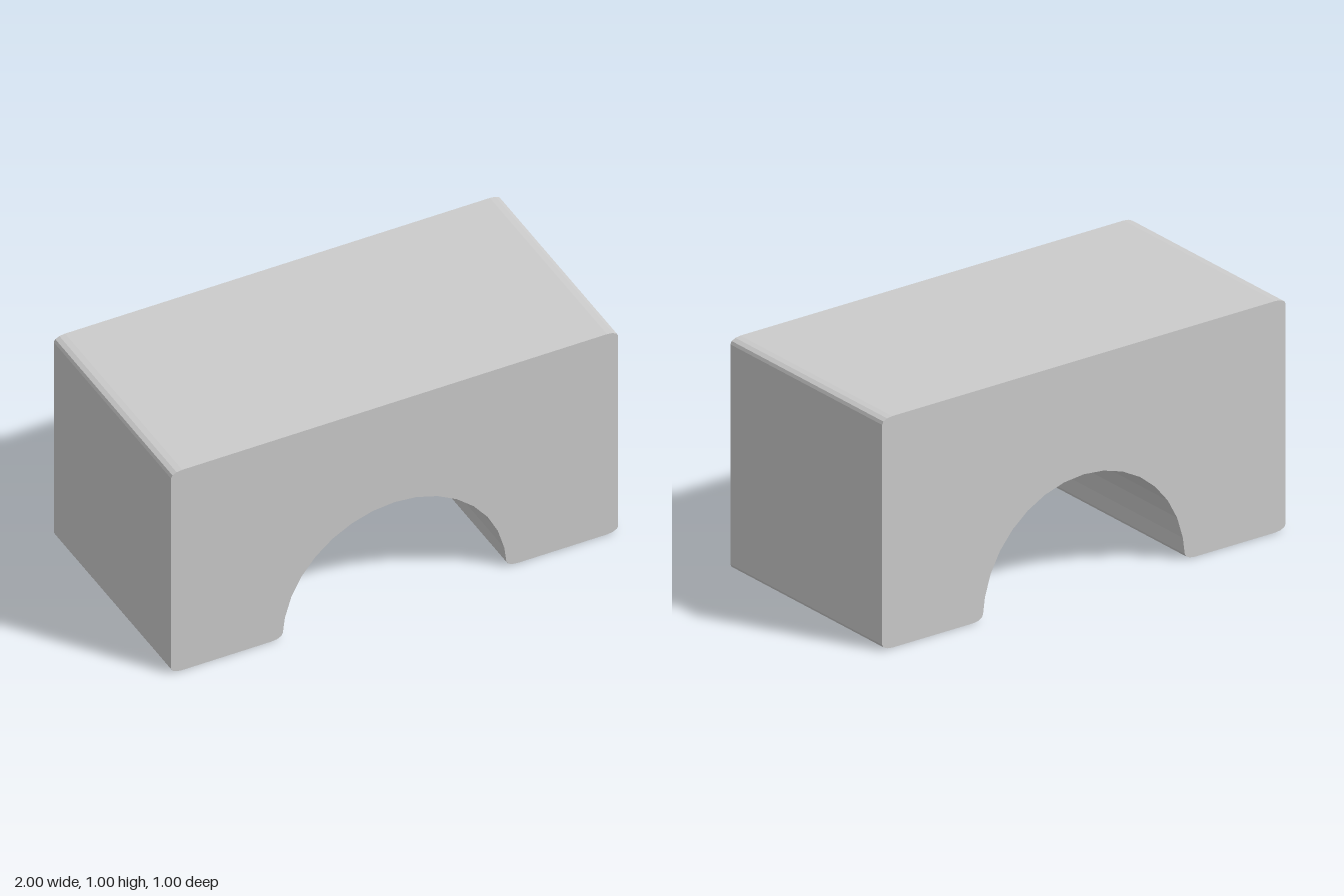
import * as THREE from 'three';

const RX = 0.05, RY = 0.025; // flattened corner radii
const DEPTH = 1, ARCH_R = 0.5;

// quarter-ellipse corner running counter-clockwise from a start angle
function corner(cx, cy, start) {
  const points = [];
  for (let i = 0; i <= 3; i++) {
    const a = start + (i / 3) * Math.PI / 2;
    points.push(new THREE.Vector2(cx + RX * Math.cos(a), cy + RY * Math.sin(a)));
  }
  return points;
}

export function createModel() {
  const group = new THREE.Group();
  group.name = 'archBlock';

  // outline: right foot, top, left foot
  const outline = [
    ...corner(ARCH_R + RX, RY, Math.PI),
    ...corner(1 - RX, RY, -Math.PI / 2),
    ...corner(1 - RX, 1 - RY, 0),
    ...corner(-1 + RX, 1 - RY, Math.PI / 2),
    ...corner(-1 + RX, RY, Math.PI),
    ...corner(-ARCH_R - RX, RY, -Math.PI / 2),
  ];

  // faceted semicircular opening, left to right
  for (let i = 15; i >= 1; i--) {
    const a = (i / 16) * Math.PI;
    outline.push(new THREE.Vector2(ARCH_R * Math.cos(a), ARCH_R * Math.sin(a)));
  }

  const geometry = new THREE.ExtrudeGeometry(new THREE.Shape(outline), {
    depth: DEPTH, bevelEnabled: false, steps: 1,
  });
  geometry.translate(0, 0, -DEPTH / 2);

  const block = new THREE.Mesh(
    geometry,
    new THREE.MeshStandardMaterial({ color: 0xcccccc, flatShading: true })
  );
  block.name = 'archedBody';
  group.add(block);
  return group;
}
